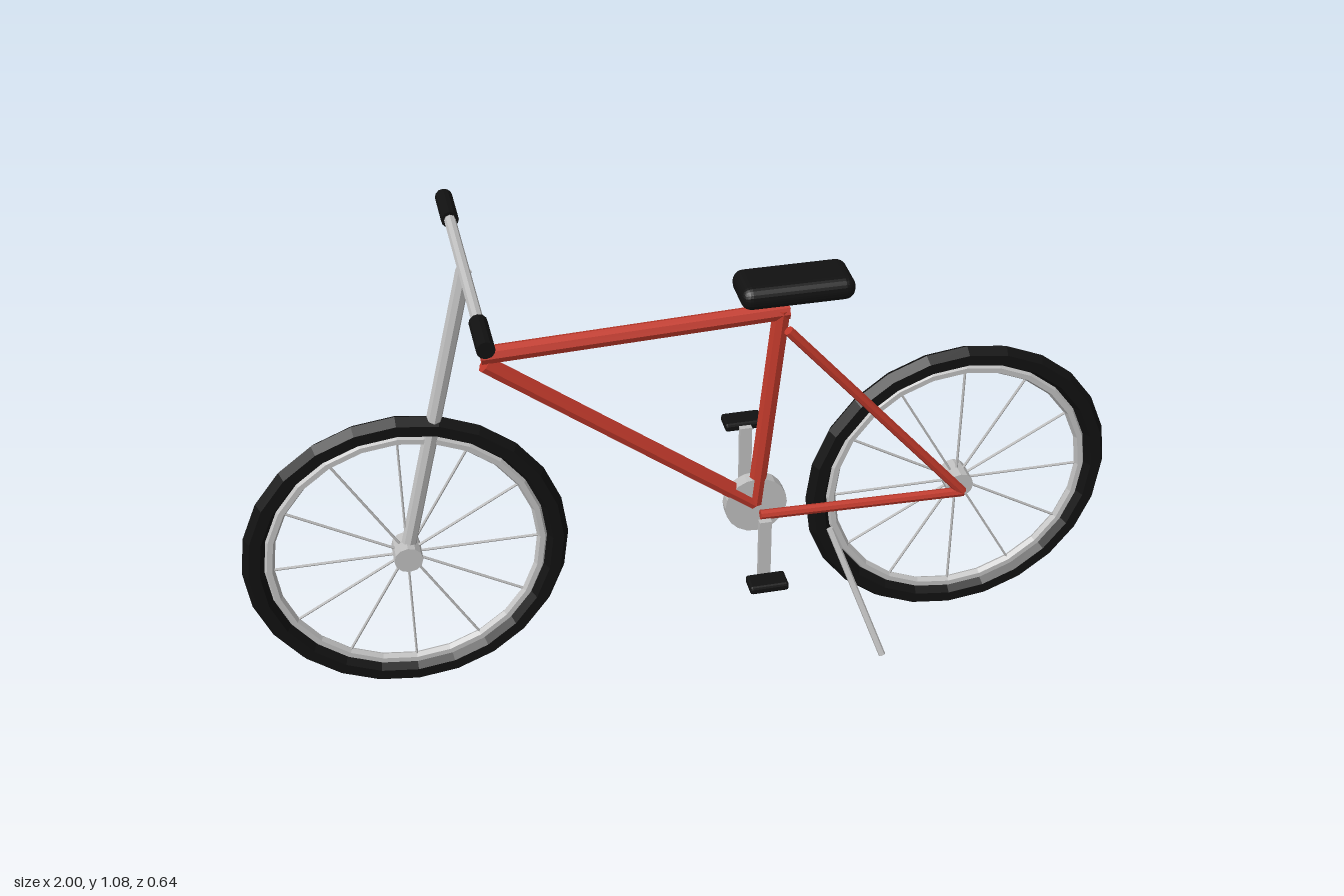
import * as THREE from 'three';
import { RoundedBoxGeometry } from 'three/addons/geometries/RoundedBoxGeometry.js';

export function createModel() {
  const paint = (name, color) => {
    const m = new THREE.MeshStandardMaterial({ color });
    m.name = name;
    return m;
  };
  const red = paint('red paint', 0xc0392b);
  const silver = paint('silver metal', 0xc0c0c0);
  const black = paint('black rubber', 0x111111);

  const bike = new THREE.Group();
  bike.name = 'bicycle';

  // Facets are shown flat, as on a low-poly surface
  const flat = (geometry) => {
    const g = geometry.index ? geometry.toNonIndexed() : geometry;
    g.computeVertexNormals();
    return g;
  };
  const add = (name, geometry, material, x = 0, y = 0, z = 0, parent = bike) => {
    const mesh = new THREE.Mesh(geometry, material);
    mesh.name = name;
    mesh.position.set(x, y, z);
    parent.add(mesh);
    return mesh;
  };
  // Straight capped rod between two points
  const rod = (name, from, to, radius, material, parent = bike, sides = 8) => {
    const a = new THREE.Vector3(...from), b = new THREE.Vector3(...to);
    const dir = b.clone().sub(a);
    const g = flat(new THREE.CylinderGeometry(radius, radius, dir.length(), sides));
    const mid = a.add(b).multiplyScalar(0.5);
    const mesh = add(name, g, material, mid.x, mid.y, mid.z, parent);
    mesh.quaternion.setFromUnitVectors(new THREE.Vector3(0, 1, 0), dir.normalize());
    return mesh;
  };

  // Wheels: tyre, rim, hub and twelve spokes
  const axleY = 0.366;
  for (const [name, x] of [['frontWheel', -0.638], ['rearWheel', 0.638]]) {
    const wheel = new THREE.Group();
    wheel.name = name;
    wheel.position.set(x, axleY, 0);
    bike.add(wheel);
    add('tyre', flat(new THREE.TorusGeometry(0.337, 0.025, 6, 24)), black, 0, 0, 0, wheel);
    add('rim', flat(new THREE.TorusGeometry(0.303, 0.012, 6, 24)), silver, 0, 0, 0, wheel);
    rod('hub', [0, 0, -0.032], [0, 0, 0.032], 0.032, silver, wheel, 12);
    for (let i = 0; i < 12; i++) {
      const a = (i * Math.PI) / 6;
      rod('spoke', [0, 0, 0], [Math.cos(a) * 0.305, Math.sin(a) * 0.305, 0], 0.003, silver, wheel, 6);
    }
  }

  // Frame
  rod('topTube', [-0.447, 0.855, 0], [0.222, 0.878, 0], 0.02, red);
  rod('downTube', [-0.44, 0.834, 0], [0.155, 0.377, 0], 0.02, red);
  rod('seatTube', [0.156, 0.377, 0], [0.207, 0.885, 0], 0.02, red);
  rod('seatStay', [0.208, 0.86, 0.053], [0.636, axleY, 0.053], 0.0115, red);
  rod('chainStay', [0.156, 0.377, 0.053], [0.638, axleY, 0.053], 0.0115, red);

  // Fork and handlebar
  rod('fork', [-0.638, axleY, 0], [-0.47, 1.066, 0], 0.017, silver);
  rod('handlebar', [-0.47, 1.068, -0.3], [-0.47, 1.068, 0.3], 0.0125, silver);
  for (const s of [-1, 1]) {
    rod('grip', [-0.47, 1.068, s * 0.212], [-0.47, 1.068, s * 0.318], 0.019, black, bike, 12);
  }

  // Saddle
  add('saddle', flat(new RoundedBoxGeometry(0.252, 0.053, 0.116, 3, 0.024)), black, 0.232, 0.941, 0);

  // Chainring, cranks and pedals
  rod('chainring', [0.156, 0.377, -0.015], [0.156, 0.377, 0.015], 0.072, silver, bike, 20);
  for (const s of [-1, 1]) {
    add('crank', new THREE.BoxGeometry(0.028, 0.156, 0.014), silver, 0.156, 0.377 - s * 0.064, s * 0.095);
    add('pedal', flat(new RoundedBoxGeometry(0.09, 0.02, 0.052, 1, 0.006)), black,
      0.156, 0.377 - s * 0.138, s * 0.127);
  }

  // Kickstand
  rod('kickstand', [0.318, 0.32, 0.064], [0.42, 0.028, 0.19], 0.008, silver);

  return bike;
}
